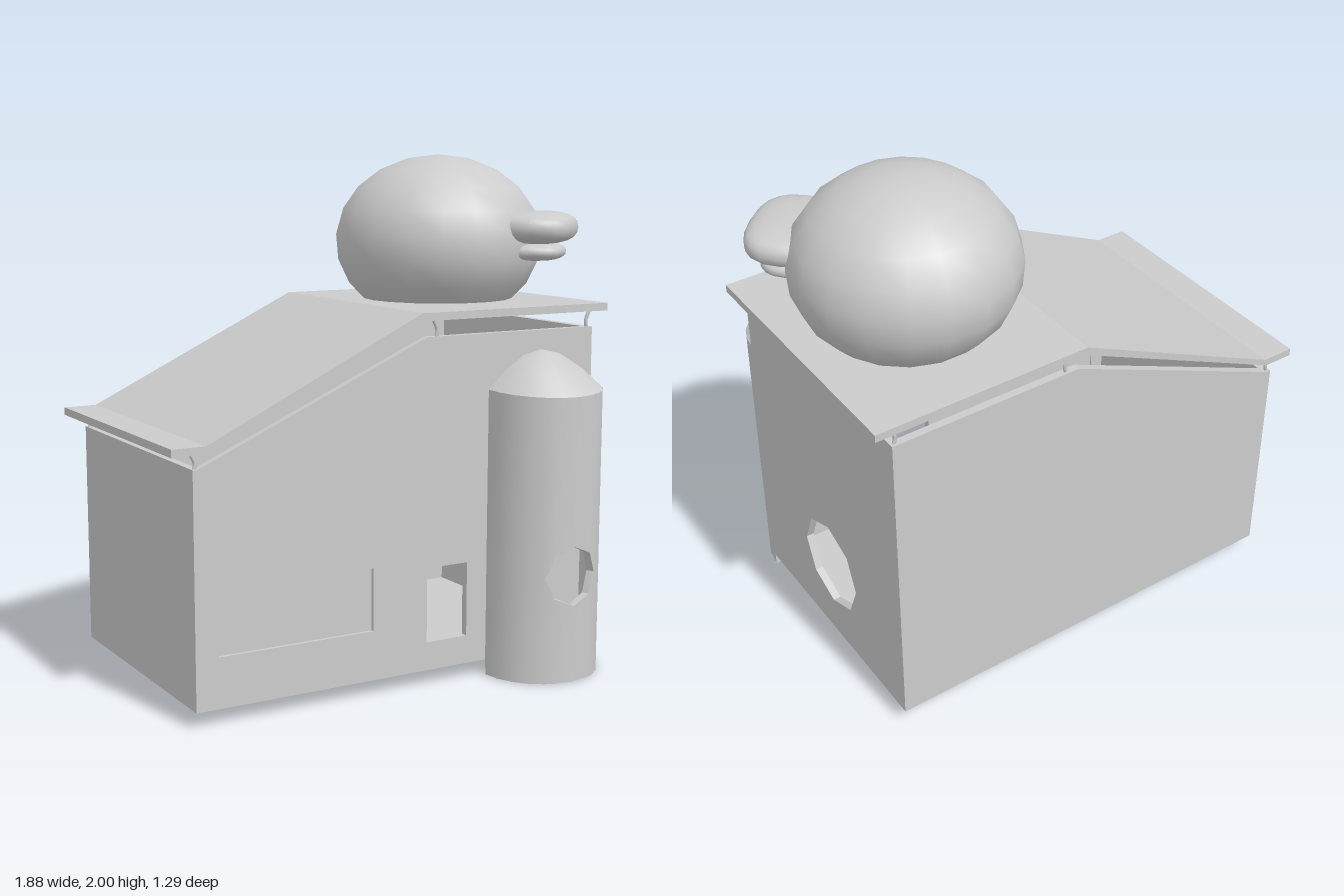
import * as THREE from 'three';
import { toCreasedNormals } from 'three/addons/utils/BufferGeometryUtils.js';

const grey = new THREE.MeshStandardMaterial({ color: 0xcccccc, side: THREE.DoubleSide });
const WALL = 0.03, BACK = -0.63, FRONT = 0.41, LEFT = 0.85, RIGHT = -0.86, BASE = 0.06;

function add(parent, name, geometry, x = 0, y = 0, z = 0) {
  const mesh = new THREE.Mesh(geometry, grey);
  mesh.name = name;
  mesh.position.set(x, y, z);
  parent.add(mesh);
  return mesh;
}

const points = (list) => list.map(([x, y]) => new THREE.Vector2(x, y));
const rect = (x0, y0, x1, y1) => points([[x0, y0], [x1, y0], [x1, y1], [x0, y1]]);
const octagon = (cx, cy, r) => Array.from({ length: 8 }, (_, i) =>
  new THREE.Vector2(cx + r * Math.cos(i * Math.PI / 4), cy + r * Math.sin(i * Math.PI / 4)));

function plate(outline, depth, holes = []) {
  const shape = new THREE.Shape(outline);
  holes.forEach((h) => shape.holes.push(new THREE.Path(h)));
  return new THREE.ExtrudeGeometry(shape, { depth, bevelEnabled: false });
}

// Hollow, open-topped house with a door, a recessed window and a round side opening
function buildHouse() {
  const house = new THREE.Group();
  house.name = 'house';
  const gable = points([[RIGHT, BASE], [LEFT, BASE], [LEFT, 1.335], [0.09, 1.335], [-0.84, 0.93], [RIGHT, 0.93]]);
  const windowHole = rect(-0.77, 0.25, -0.14, 0.49);
  const doorHole = rect(0.095, 0.17, 0.275, 0.46);
  add(house, 'frontWall', plate(gable, WALL, [windowHole, doorHole]), 0, 0, FRONT - WALL);
  add(house, 'windowPanel', plate(windowHole, 0.01), 0, 0, FRONT - 0.025);
  add(house, 'backWall', plate(gable, WALL), 0, 0, BACK);

  const side = (top, holes) =>
    plate(rect(-FRONT + WALL, BASE, -BACK - WALL, top), WALL, holes).rotateY(Math.PI / 2);
  add(house, 'leftWall', side(1.335, [octagon(0.11, 0.405, 0.19)]), LEFT - WALL);
  add(house, 'rightWall', side(0.93), RIGHT);
  add(house, 'floor', new THREE.BoxGeometry(LEFT - RIGHT - 0.004, WALL, FRONT - BACK - 0.004),
    (LEFT + RIGHT) / 2, BASE + WALL / 2 + 0.001, (FRONT + BACK) / 2);
  return house;
}

// Bent roof slab held above the walls on small curved brackets
function buildRoof() {
  const roof = new THREE.Group();
  roof.name = 'roof';
  const profile = points([[-0.94, 0.98], [-0.82, 0.98], [0.07, 1.395], [0.92, 1.395],
    [0.92, 1.425], [0.065, 1.425], [-0.81, 1.01], [-0.94, 1.01]]);
  add(roof, 'roofSlab', plate(profile, 1.06), 0, 0, -0.645);
  for (const [x, y, h, s] of [[-0.85, 0.925, 0.06, -1], [0.135, 1.33, 0.07, -1], [0.835, 1.33, 0.07, 1]]) {
    for (const z of [FRONT - 0.015, BACK + 0.015]) {
      const curve = new THREE.CatmullRomCurve3([[0, 0], [-0.005 * s, h * 0.4], [0.012 * s, h]]
        .map(([a, b]) => new THREE.Vector3(a, b, 0)));
      add(roof, 'roofBracket', new THREE.TubeGeometry(curve, 6, 0.007, 6), x, y, z);
    }
  }
  return roof;
}

// Half-round tower wall made of vertical strips that split around the opening
function towerWall(R, r, rim) {
  const half = [[0, 0.115], [0.3456, 0.0813], [0.5, 0], [0.75, 0], [1.0, 0], [1.28, 0], [Math.PI / 2, 0]];
  const cols = [...half.slice(1).reverse().map(([a, h]) => [-a, h]), ...half];
  const pos = [];
  const at = (a, rad, y) => [rad * Math.sin(a), y, rad * Math.cos(a)];
  const quad = (a, b, c, d) => pos.push(...a, ...b, ...c, ...a, ...c, ...d);
  for (let i = 0; i < cols.length - 1; i++) {
    const [a, ha] = cols[i], [b, hb] = cols[i + 1];
    const strips = [[0, 0, 0.415 - ha, 0.415 - hb], [0.415 + ha, 0.415 + hb, rim(a), rim(b)]];
    for (const [a0, b0, a1, b1] of strips) {
      quad(at(a, R, a0), at(b, R, b0), at(b, R, b1), at(a, R, a1));
      quad(at(b, r, b0), at(a, r, a0), at(a, r, a1), at(b, r, b1));
    }
    if (ha + hb > 0) { // reveal of the opening
      const [, , la, lb] = strips[0], [ua, ub] = strips[1];
      quad(at(a, R, la), at(b, R, lb), at(b, r, lb), at(a, r, la));
      quad(at(a, r, ua), at(b, r, ub), at(b, R, ub), at(a, R, ua));
    }
  }
  const g = new THREE.BufferGeometry();
  g.setAttribute('position', new THREE.Float32BufferAttribute(pos, 3));
  return toCreasedNormals(g, 0.7);
}

function buildTower() {
  const tower = new THREE.Group();
  tower.name = 'tower';
  tower.position.set(0.605, 0, FRONT);
  const R = 0.24;
  add(tower, 'towerWall', towerWall(R, R - WALL, (a) => 1.12 - 0.015 * Math.cos(a)));

  // Dome whose rim dips slightly towards the front
  const dome = new THREE.LatheGeometry(
    points([[R, 1.12], [0.16, 1.192], [0.08, 1.242], [0, 1.26]]), 12, -Math.PI / 2, Math.PI);
  const p = dome.attributes.position;
  for (let i = 0; i < p.count; i++) p.setY(i, p.getY(i) - 0.015 * p.getZ(i) / R);
  dome.computeVertexNormals();
  add(tower, 'towerDome', dome);

  add(tower, 'towerBase', new THREE.CircleGeometry(R, 12, Math.PI, Math.PI).rotateX(Math.PI / 2).scale(1, 1, -1)
    .rotateY(0), 0, 0.001, 0).geometry.computeBoundingBox();
  const base = tower.getObjectByName('towerBase');
  if (base.geometry.boundingBox.min.z < -0.01) base.geometry.rotateY(Math.PI);
  add(tower, 'towerFoot', new THREE.BoxGeometry(2 * R, BASE, 0.005), 0, BASE / 2, 0.003);
  return tower;
}

// Unit ball squared off towards a rounded pillow, then scaled
function pillow(sx, sy, sz) {
  const g = new THREE.SphereGeometry(1, 20, 12);
  const p = g.attributes.position;
  const square = (v) => Math.sign(v) * Math.abs(v) ** 0.75;
  for (let i = 0; i < p.count; i++) {
    p.setXYZ(i, square(p.getX(i)) * sx, square(p.getY(i)) * sy, square(p.getZ(i)) * sz);
  }
  g.computeVertexNormals();
  return g;
}

// Big round head resting on the roof, its bill turned towards the front left corner
function buildHead() {
  const head = new THREE.Group();
  head.name = 'head';
  const ball = new THREE.SphereGeometry(1, 18, 8, 0, Math.PI * 2, 0, Math.PI * 0.76);
  add(head, 'headBall', ball.scale(0.418, 0.342, 0.418), 0.48, 1.658, -0.135);
  const bill = new THREE.Group();
  bill.name = 'bill';
  bill.position.set(0.742, 0, 0.183);
  bill.rotation.y = Math.PI / 4;
  add(bill, 'upperBill', pillow(0.2, 0.065, 0.16), 0, 1.715, 0);
  add(bill, 'lowerBill', pillow(0.145, 0.036, 0.125), 0, 1.62, -0.01);
  head.add(bill);
  return head;
}

export function createModel() {
  const model = new THREE.Group();
  model.name = 'house with round head';
  model.add(buildHouse(), buildRoof(), buildTower(), buildHead());
  return model;
}
